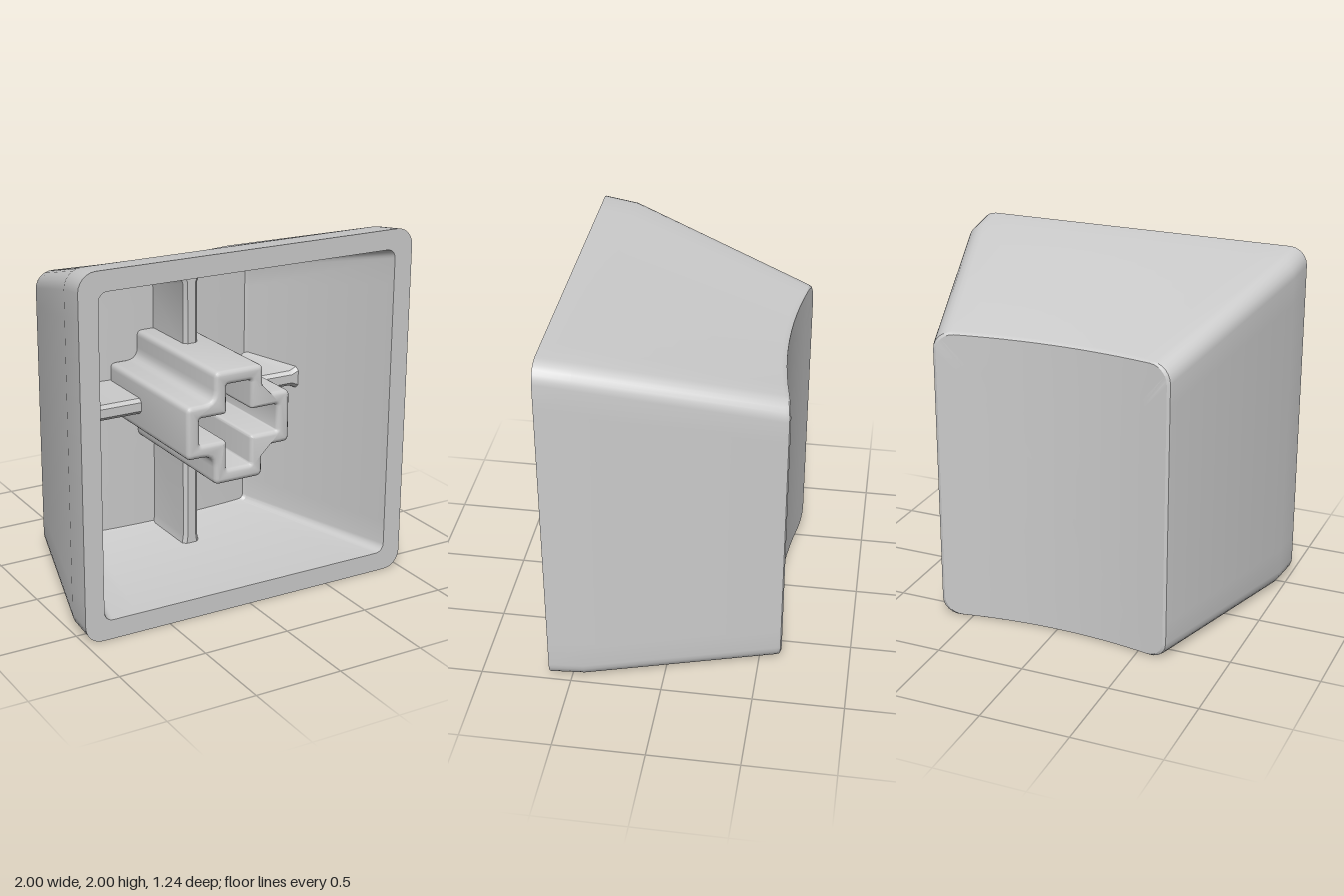
import * as THREE from 'three';
import { toCreasedNormals } from 'three/addons/utils/BufferGeometryUtils.js';

const material = new THREE.MeshStandardMaterial({ color: 0xcccccc });

// Skins a list of closed rings that all have the same number of points.
function loft(rings) {
  const n = rings[0].length, index = [];
  for (let k = 0; k < rings.length - 1; k++) {
    for (let i = 0; i < n; i++) {
      const j = (i + 1) % n, a = k * n, b = a + n;
      index.push(a + i, b + i, b + j, a + i, b + j, a + j);
    }
  }
  const geometry = new THREE.BufferGeometry();
  geometry.setAttribute('position', new THREE.Float32BufferAttribute(rings.flat(2), 3));
  geometry.setIndex(index);
  return toCreasedNormals(geometry, 0.5);
}

// Rounded rectangle ring, counter-clockwise from the front; depth(x) gives z.
function ring(hx, y0, y1, r, depth, scale = 1) {
  const cy = (y0 + y1) / 2, hy = (y1 - y0) / 2, outline = [];
  const corners = [[1, 1], [-1, 1], [-1, -1], [1, -1]];
  corners.forEach(([sx, sy], q) => {
    for (let s = 0; s <= 6; s++) {
      const a = (q + s / 6) * Math.PI / 2;
      outline.push([sx * (hx - r) + r * Math.cos(a), sy * (hy - r) + r * Math.sin(a)]);
    }
    // Points along the straight edge, so it can follow the curved back
    const [nx, ny] = corners[(q + 1) % 4], end = (q + 1) * Math.PI / 2;
    const from = outline[outline.length - 1];
    const to = [nx * (hx - r) + r * Math.cos(end), ny * (hy - r) + r * Math.sin(end)];
    for (let s = 1; s < 12; s++) {
      outline.push([0, 1].map((c) => from[c] + (to[c] - from[c]) * s / 12));
    }
  });
  return outline.map(([x, y]) => [x * scale, cy + y * scale, depth(x * scale)]);
}

// Hollow tapered shell, from the inner floor over the rim to the dished back
function shell() {
  const floor = (x) => -0.4 - 0.04 * (x / 0.6) ** 2;
  const scoop = (x) => -0.55 - 0.075 * (x / 0.66) ** 2;
  const steps = [0, 0.2, 0.4, 0.6, 0.8];
  const rings = [
    ...steps.map((k) => ring(0.59, 0.12, 1.61, 0.03, floor, k)),
    ring(0.59, 0.12, 1.61, 0.03, floor),
    ring(0.605, 0.11, 1.625, 0.035, (x) => floor(x) + 0.02),
    ring(0.89, 0.11, 1.89, 0.05, () => 0.62),
    ring(1, 0, 2, 0.1, () => 0.62),
    ring(0.985, 0, 1.975, 0.1, () => 0.43),
    ring(0.68, 0, 1.69, 0.1, (x) => scoop(x) + 0.03),
    ring(0.672, 0.002, 1.685, 0.1, (x) => scoop(x) + 0.01),
    ring(0.655, 0.008, 1.677, 0.1, scoop),
    ...steps.reverse().map((k) => ring(0.655, 0.008, 1.677, 0.1, scoop, k)),
  ];
  return loft(rings);
}

// Plus-shaped outline with rounded outer and inner corners
function plus(path, reach, half, rOut, rIn) {
  const points = [];
  for (let q = 0; q < 4; q++) {
    const c = Math.round(Math.cos(q * Math.PI / 2)), s = Math.round(Math.sin(q * Math.PI / 2));
    for (const [x, y, r] of [[reach, -half, rOut], [reach, half, rOut], [half, half, rIn]]) {
      points.push({ p: new THREE.Vector2(x * c - y * s, x * s + y * c), r });
    }
  }
  points.forEach(({ p, r }, i) => {
    const prev = points[(i + 11) % 12].p, next = points[(i + 1) % 12].p;
    const a = p.clone().add(prev.clone().sub(p).setLength(r));
    const b = p.clone().add(next.clone().sub(p).setLength(r));
    if (i === 0) path.moveTo(a.x, a.y); else path.lineTo(a.x, a.y);
    path.quadraticCurveTo(p.x, p.y, b.x, b.y);
  });
  path.closePath();
  return path;
}

function stem() {
  const shape = plus(new THREE.Shape(), 0.32, 0.15, 0.035, 0.07);
  shape.holes.push(plus(new THREE.Path(), 0.24, 0.075, 0.012, 0.02));
  const bevel = 0.025;
  const geometry = new THREE.ExtrudeGeometry(shape, {
    depth: 0.91 - 2 * bevel, curveSegments: 5, bevelThickness: bevel,
    bevelSize: bevel, bevelOffset: -bevel, bevelSegments: 3,
  });
  geometry.translate(0, 1, -0.42 + bevel);
  return toCreasedNormals(geometry, 0.6);
}

// Rib from the stem to a wall; its end follows the slope and flares out
function rib(reach, slope, flare) {
  const front = -0.03, back = -0.44;
  const section = (u, w) => [
    [w, back], [-w, back], [-w, front - 0.02], [-w + 0.02, front], [w - 0.02, front], [w, front - 0.02],
  ].map(([y, z]) => [u + (u > 0.3 ? slope * (z - front) : 0), y, z]);
  return loft([
    section(0.28, 0.045),
    section(reach - 0.05, 0.045),
    section(reach - 0.015, 0.045 + flare * 0.5),
    section(reach + 0.01, 0.045 + flare),
  ]);
}

export function createModel() {
  const group = new THREE.Group();
  const add = (name, geometry) => {
    const mesh = new THREE.Mesh(geometry, material);
    mesh.name = name;
    group.add(mesh);
    return mesh;
  };
  add('shell', shell());
  add('stem', stem());
  const ribs = [
    ['leftRib', 0.72, 0.28, 0.03], ['topRib', 0.72, 0.26, 0.03],
    ['rightRib', 0.72, 0.28, 0.03], ['bottomRib', 0.89, 0, 0.01],
  ];
  ribs.forEach(([name, reach, slope, flare], i) => {
    const mesh = add(name, rib(reach, slope, flare));
    mesh.rotation.z = i * Math.PI / 2;
    mesh.position.y = 1;
  });
  return group;
}
